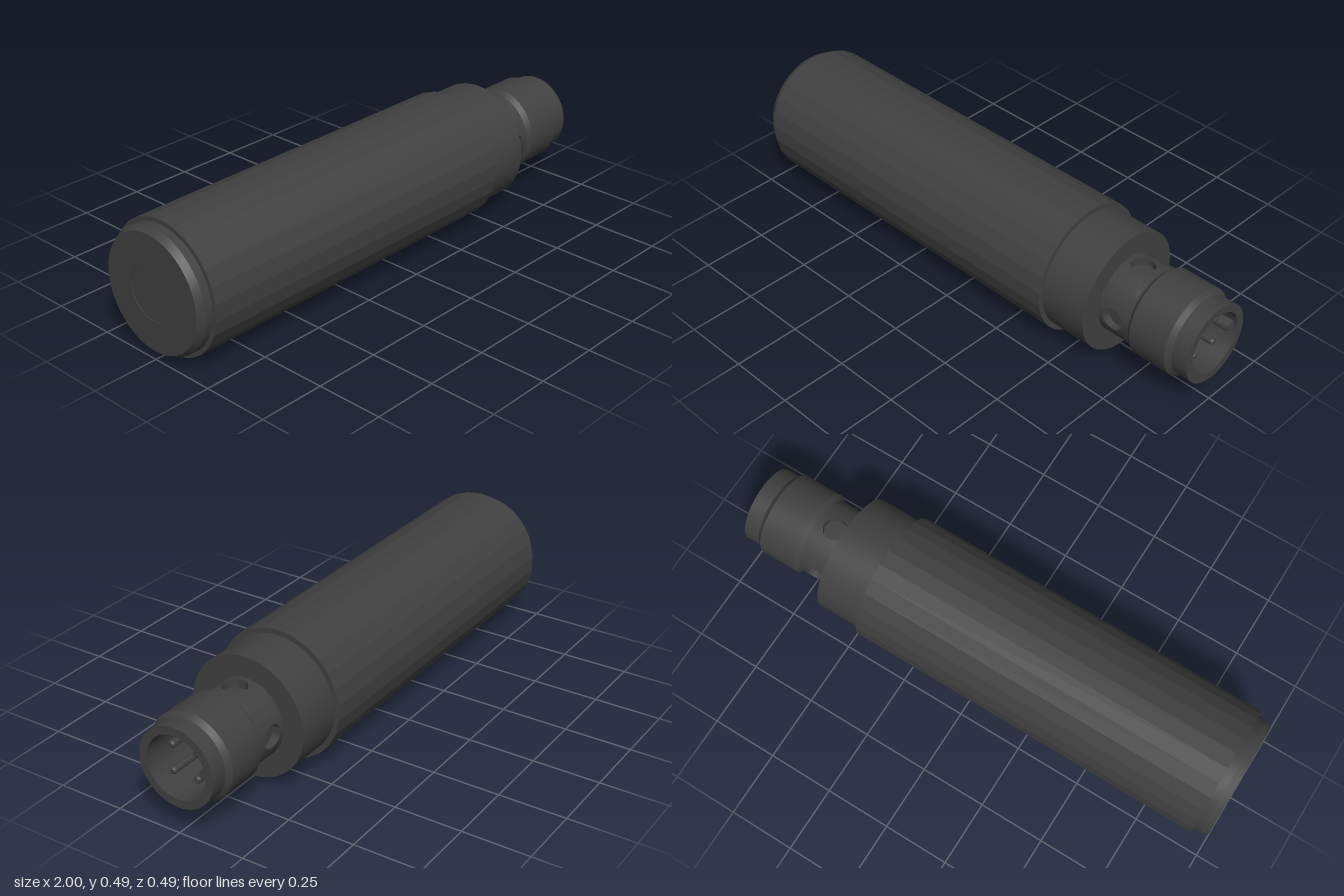
import * as THREE from 'three';
import { toCreasedNormals } from 'three/addons/utils/BufferGeometryUtils.js';
import { ParametricGeometry } from 'three/addons/geometries/ParametricGeometry.js';

const AXIS_Y = 0.245;
const material = new THREE.MeshStandardMaterial({ color: 0x404040 });
const openMaterial = new THREE.MeshStandardMaterial({ color: 0x404040, side: THREE.DoubleSide });

// Turned part around the x axis; profile is [x, radius] from left to right
function turned(name, profile, sides = 48, crease = 0.5) {
  const points = profile.map(([x, r]) => new THREE.Vector2(r, x));
  const geometry = new THREE.LatheGeometry(points, sides, Math.PI / 2);
  geometry.rotateZ(-Math.PI / 2);
  const mesh = new THREE.Mesh(toCreasedNormals(geometry, crease), material);
  mesh.name = name;
  return mesh;
}

// One quarter of the neck with a round recess in its middle, facing +z
function neckQuarter() {
  const group = new THREE.Group();
  const R = 0.147, hole = 0.043, half = 0.062, mid = 0.685, floor = 0.115;
  const add = (name, fn, rings) => {
    const geometry = toCreasedNormals(new ParametricGeometry(fn, 32, rings), 0.6);
    const mesh = new THREE.Mesh(geometry, openMaterial);
    mesh.name = name;
    group.add(mesh);
  };
  // Skin: blends from the hole rim to the rectangular edge of the quarter
  add('neckSkin', (u, v, target) => {
    const t = u * Math.PI * 2, c = Math.cos(t), s = Math.sin(t);
    const k = 1 / Math.max(Math.abs(c), Math.abs(s));
    const x = THREE.MathUtils.lerp(hole * c, half * c * k, v);
    const a = THREE.MathUtils.lerp(Math.asin(hole * s / R), Math.PI / 4 * s * k, v);
    target.set(mid + x, R * Math.sin(a), R * Math.cos(a));
  }, 4);
  // Wall of the recess
  add('recessWall', (u, v, target) => {
    const t = u * Math.PI * 2, y = hole * Math.sin(t);
    const z = THREE.MathUtils.lerp(floor, Math.sqrt(R * R - y * y), v);
    target.set(mid + hole * Math.cos(t), y, z);
  }, 1);
  const disc = new THREE.Mesh(new THREE.CircleGeometry(hole, 32), material);
  disc.position.set(mid, 0, floor);
  disc.name = 'recessFloor';
  group.add(disc);
  return group;
}

export function createModel() {
  const model = new THREE.Group();
  const sensor = new THREE.Group();
  sensor.name = 'cylindricalSensor';
  sensor.position.y = AXIS_Y;
  model.add(sensor);

  // Main housing: end cap, faceted sleeve and rear collar
  sensor.add(
    turned('endCap', [[-0.997, 0], [-0.997, 0.1], [-1, 0.1], [-1, 0.214],
      [-0.975, 0.228], [-0.94, 0.228]]),
    turned('sleeve', [[-0.945, 0.2], [-0.945, 0.245], [0.445, 0.245], [0.445, 0.2]], 26, 0.1),
    turned('collar', [[0.44, 0.225], [0.625, 0.225], [0.625, 0.1]]),
  );

  // Neck with four round recesses
  for (let i = 0; i < 4; i++) {
    const quarter = neckQuarter();
    quarter.name = 'neckQuarter';
    quarter.rotation.x = i * Math.PI / 2;
    sensor.add(quarter);
  }

  // Plug: raised ring, tip and hollow socket
  sensor.add(turned('plugShell', [[0.745, 0.147], [0.755, 0.147], [0.772, 0.163], [0.92, 0.163],
    [0.938, 0.147], [1, 0.147], [1, 0.117], [0.79, 0.117], [0.79, 0]]));

  // Four contact pins
  for (const y of [-0.049, 0.049]) {
    for (const z of [-0.049, 0.049]) {
      const pin = turned('contactPin', [[0.785, 0.0135], [0.955, 0.0135], [0.963, 0.009], [0.965, 0]], 16);
      pin.position.set(0, y, z);
      sensor.add(pin);
    }
  }

  // Keying rib on the socket wall
  const rib = new THREE.Shape();
  rib.moveTo(0.122, 0.016);
  rib.lineTo(0.097, 0.016);
  rib.absarc(0.097, 0, 0.016, Math.PI / 2, Math.PI * 1.5, false);
  rib.lineTo(0.122, -0.016);
  const ribGeometry = new THREE.ExtrudeGeometry(rib, { depth: 0.195, bevelEnabled: false, curveSegments: 10 });
  const key = new THREE.Mesh(toCreasedNormals(ribGeometry, 0.6), material);
  key.name = 'keyRib';
  key.rotation.y = Math.PI / 2;
  key.position.x = 0.79;
  sensor.add(key);

  return model;
}
